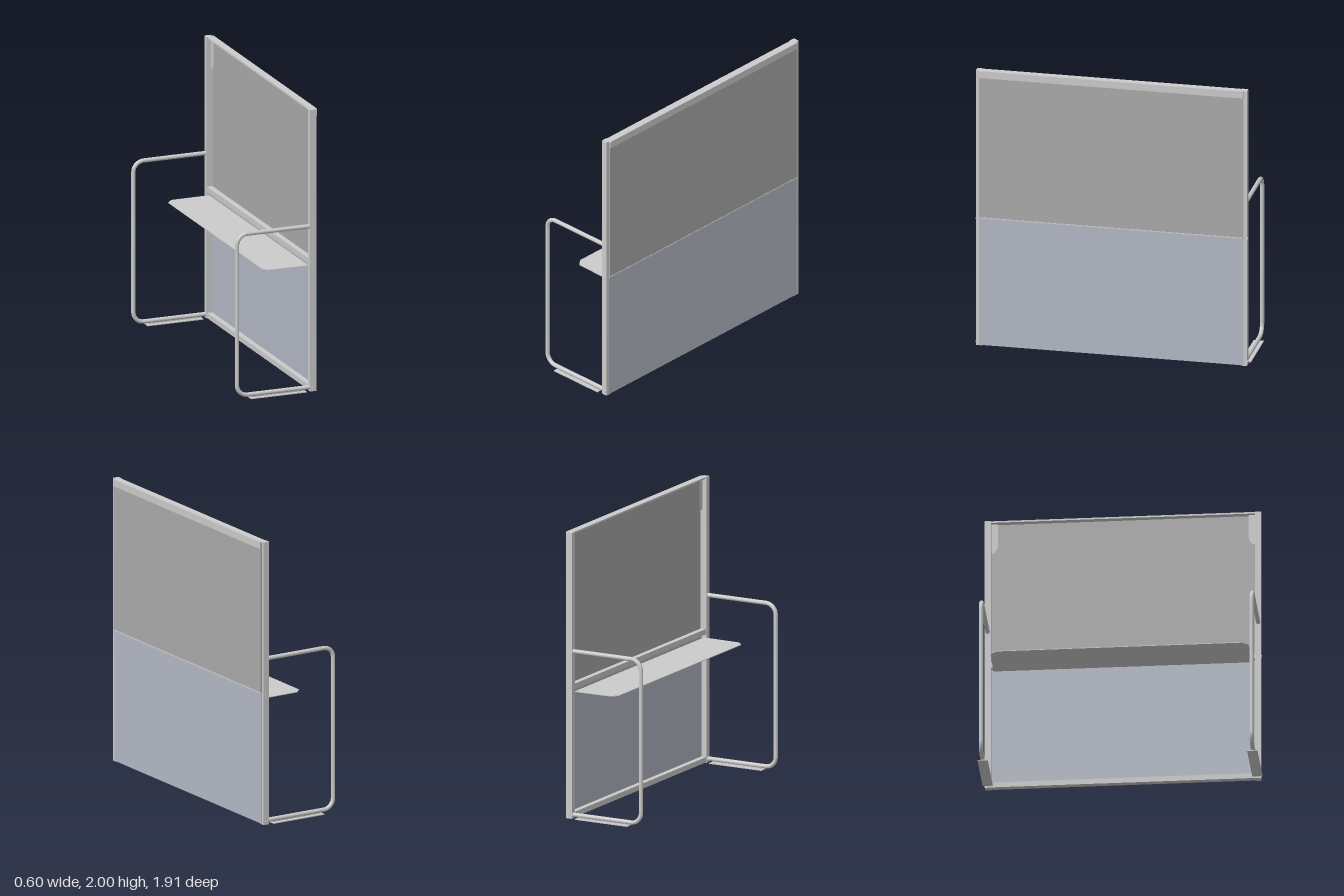
import * as THREE from 'three';

const grey = new THREE.MeshStandardMaterial({ color: 0xcccccc, side: THREE.DoubleSide });
const darkGrey = new THREE.MeshStandardMaterial({ color: 0xaaaaaa });
const blueGrey = new THREE.MeshStandardMaterial({ color: 0xb3b8c4 });

export function createModel() {
  const model = new THREE.Group();

  const add = (name, geometry, material = grey) => {
    const mesh = new THREE.Mesh(geometry, material);
    mesh.name = name;
    model.add(mesh);
    return mesh;
  };
  // Box given by its lower and upper bounds on each axis
  const box = (name, x0, x1, y0, y1, z0, z1, material) =>
    add(name, new THREE.BoxGeometry(x1 - x0, y1 - y0, z1 - z0), material)
      .position.set((x0 + x1) / 2, (y0 + y1) / 2, (z0 + z1) / 2);

  // Wall panels
  box('upperPanel', 0.285, 0.294, 0.935, 1.99, -0.92, 0.92, darkGrey);
  box('upperPanelHem', 0.285, 0.297, 0.928, 0.935, -0.92, 0.92);
  box('lowerPanel', 0.28, 0.287, 0.004, 0.925, -0.92, 0.92, blueGrey);

  // Rails between the posts
  box('bottomRail', 0.243, 0.28, 0.003, 0.04, -0.9, 0.9);
  box('middleRail', 0.243, 0.28, 0.9, 0.937, -0.9, 0.9);

  // Folded cover along the top edge
  box('topCover', 0.245, 0.298, 1.988, 2, -0.92, 0.92);
  box('topCoverFlange', 0.293, 0.298, 1.95, 1.99, -0.92, 0.92);

  // Shelf with cut front corners
  const shelf = new THREE.Shape([
    [0.25, -0.885], [-0.03, -0.88], [-0.07, -0.835],
    [-0.07, 0.835], [-0.03, 0.88], [0.25, 0.885],
  ].map(([x, z]) => new THREE.Vector2(x, z)));
  const shelfGeometry = new THREE.ExtrudeGeometry(shelf, { depth: 0.005, bevelEnabled: false });
  shelfGeometry.rotateX(Math.PI / 2);
  add('shelf', shelfGeometry).position.y = 0.88;

  // Path of one side loop: straight runs joined by rounded corners
  const loopPath = new THREE.CurvePath();
  const p = (x, y) => new THREE.Vector3(x, y, 0);
  const left = -0.29, low = 0.026, high = 1.17, r = 0.075, k = r * 0.448;
  loopPath.add(new THREE.LineCurve3(p(0.255, low), p(left + r, low)));
  loopPath.add(new THREE.CubicBezierCurve3(
    p(left + r, low), p(left + k, low), p(left, low + k), p(left, low + r)));
  loopPath.add(new THREE.LineCurve3(p(left, low + r), p(left, high - r)));
  loopPath.add(new THREE.CubicBezierCurve3(
    p(left, high - r), p(left, high - k), p(left + k, high), p(left + r, high)));
  loopPath.add(new THREE.LineCurve3(p(left + r, high), p(0.255, high)));

  // Corner plate with a tapered lower end, drawn in z and y
  const plate = new THREE.Shape([
    [0, 1.99], [0, 1.77], [0.02, 1.77], [0.045, 1.81], [0.045, 1.99],
  ].map(([z, y]) => new THREE.Vector2(z, y)));

  for (const side of [-1, 1]) {
    const span = (name, x0, x1, y0, y1, zIn, zOut) =>
      box(name, x0, x1, y0, y1, Math.min(side * zIn, side * zOut), Math.max(side * zIn, side * zOut));

    span('post', 0.24, 0.285, 0, 2, 0.9, 0.943);
    span('footPlate', -0.2, 0.21, 0, 0.006, 0.885, 0.955);
    span('footSpacer', -0.18, 0.2, 0.006, 0.014, 0.914, 0.93);

    add('sideLoop', new THREE.TubeGeometry(loopPath, 160, 0.015, 14)).position.z = side * 0.923;

    const corner = add('cornerPlate', new THREE.ShapeGeometry(plate));
    corner.rotation.y = side * Math.PI / 2;
    corner.position.set(0.27, 0, side * 0.9);

    // Bolts holding the rails
    for (const y of [0.022, 0.918]) {
      const bolt = add('bolt', new THREE.CylinderGeometry(0.012, 0.012, 0.006, 16));
      bolt.rotation.x = Math.PI / 2;
      bolt.position.set(0.262, y, side * 0.944);
    }
  }

  return model;
}
